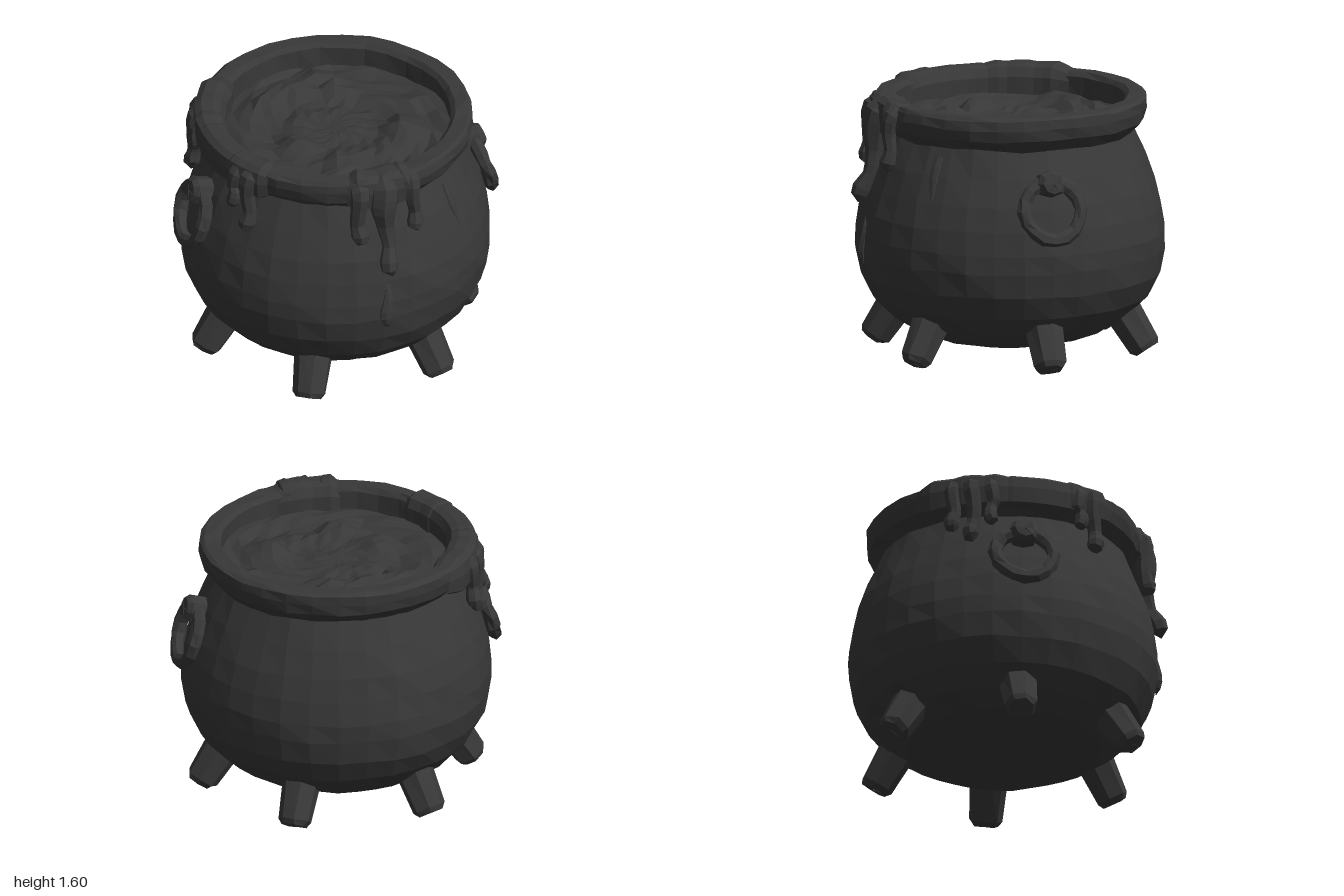
import * as THREE from 'three';

const iron = new THREE.MeshStandardMaterial({ color: 0x383838, flatShading: true });
iron.name = 'dark iron';

// Repeatable offset in -1..1 from a position, so that seam vertices stay together
function noise(x, y, z) {
  const q = (v) => Math.round(v * 1000) || 0;
  const s = Math.sin(q(x) * 0.1271 + q(y) * 0.3117 + q(z) * 0.0747) * 43758.5453;
  return (s - Math.floor(s)) * 2 - 1;
}

// Move every vertex of a geometry by a rule
function reshape(geo, rule) {
  const p = geo.attributes.position, v = new THREE.Vector3();
  for (let i = 0; i < p.count; i++) {
    v.fromBufferAttribute(p, i);
    rule(v, i);
    p.setXYZ(i, v.x, v.y, v.z);
  }
  geo.computeVertexNormals();
  return geo;
}

const roughen = (geo, amount) => reshape(geo, (v) => {
  const { x, y, z } = v;
  v.x += noise(x, y, z) * amount;
  v.y += noise(y, z, x) * amount;
  v.z += noise(z, x, y) * amount;
});

const lathe = (pts, sides, start, length) =>
  new THREE.LatheGeometry(pts.map(([r, y]) => new THREE.Vector2(r, y)), sides, start, length);

function part(name, geo, parent) {
  const m = new THREE.Mesh(geo, iron);
  m.name = name;
  parent.add(m);
  return m;
}

// Tapered round strand; each point is [radius from axis, height, thickness]
function strand(phi, pts, flat = 1) {
  const curve = new THREE.CatmullRomCurve3(pts.map(([r, y], i) => {
    const a = phi + Math.sin(i * 2 + phi * 5) * 0.012;
    return new THREE.Vector3(Math.sin(a) * r, y, Math.cos(a) * r);
  }));
  const n = (pts.length - 1) * 2, sides = 7;
  const out = new THREE.Vector3(Math.sin(phi), 0, Math.cos(phi));
  return reshape(new THREE.TubeGeometry(curve, n, 1, sides), (v, i) => {
    const t = Math.floor(i / (sides + 1)) / n;
    const c = curve.getPoint(curve.getUtoTmapping(t));
    const f = curve.getUtoTmapping(t) * (pts.length - 1);
    const k = Math.min(Math.floor(f), pts.length - 2);
    const r = THREE.MathUtils.lerp(pts[k][2], pts[k + 1][2], f - k);
    v.sub(c).multiplyScalar(r);
    v.addScaledVector(out, v.dot(out) * (flat - 1)).add(c);
  });
}

// Thick goo lying over the rim between two angles, thinning out at both ends
function goo(from, to, extra) {
  const pts = [[0.79, 1.39], [0.825, 1.41], [0.835, 1.5], [0.825, 1.56], [0.79, 1.585],
    [0.73, 1.585], [0.69, 1.57], [0.665, 1.52], [0.665, 1.43]];
  const n = Math.max(6, Math.round((to - from) / 0.08));
  return reshape(lathe(pts, n, from, to - from), (v, i) => {
    const u = Math.floor(i / pts.length) / n;
    const r = Math.hypot(v.x, v.z);
    const wave = 0.75 + 0.25 * Math.sin(u * n * 1.9 + from);
    const f = 0.8 + Math.min(1, Math.sin(Math.PI * u) * 2) * (0.2 + extra * wave);
    const nr = 0.75 + (r - 0.75) * f;
    v.set(v.x * nr / r, 1.48 + (v.y - 1.48) * f, v.z * nr / r);
  });
}

export function createModel() {
  const model = new THREE.Group();
  model.name = 'cauldron';
  const pot = new THREE.Group();
  pot.name = 'pot';
  pot.position.z = -0.035;
  model.add(pot);

  // Round belly
  part('bowl', roughen(lathe([[0.001, 0.065], [0.2, 0.072], [0.42, 0.11], [0.58, 0.17], [0.71, 0.25],
    [0.82, 0.36], [0.89, 0.5], [0.918, 0.65], [0.92, 0.76], [0.9, 0.9], [0.865, 1.04],
    [0.805, 1.2], [0.73, 1.37]], 32), 0.006), pot);

  // Flared rim with the inner wall
  part('rim', roughen(lathe([[0.71, 1.33], [0.735, 1.365], [0.8, 1.43], [0.815, 1.5], [0.812, 1.555],
    [0.79, 1.572], [0.71, 1.572], [0.685, 1.545], [0.685, 1.38]], 32), 0.006), pot);

  // Lumpy brew surface with a swirl and bubbles
  const bubbles = [[-0.1, -0.42, 0.13], [0.12, -0.36, 0.1], [-0.28, -0.36, 0.1], [0.54, -0.14, 0.09],
    [0.4, 0.18, 0.14], [-0.1, 0.4, 0.12], [-0.3, 0.13, 0.1], [0.05, -0.55, 0.09]];
  part('brew', reshape(new THREE.RingGeometry(0.001, 0.7, 30, 11).rotateX(-Math.PI / 2), (v) => {
    const r = Math.hypot(v.x, v.z), a = Math.atan2(v.z, v.x);
    const fade = Math.min(1, r * 4);
    v.y = 1.43 + fade * (0.015 * Math.sin(r * 20 + a) + 0.012 * noise(v.x, 0, v.z));
    for (const [x, z, s] of bubbles) {
      const d = Math.hypot(v.x - x, v.z - z) / s;
      if (d < 1) v.y += 0.06 * Math.sqrt(1 - d * d);
    }
  }), pot);

  // Six splayed feet
  for (let k = 0; k < 6; k++) {
    const geo = lathe([[0.001, -0.195], [0.075, -0.195], [0.1, -0.165], [0.125, 0.21]], 7);
    geo.rotateZ(0.576).translate(0.725, 0.218, 0);
    part('foot', roughen(geo, 0.005), pot).rotation.y = k * Math.PI / 3;
  }

  // Ring handles hanging from lugs on both sides
  for (const side of [0, 1]) {
    const handle = new THREE.Group();
    handle.name = side ? 'rightHandle' : 'leftHandle';
    handle.rotation.y = side * Math.PI;
    handle.position.z = 0.01;
    pot.add(handle);
    const ring = new THREE.TorusGeometry(0.175, 0.042, 7, 16).rotateY(Math.PI / 2).rotateZ(0.3);
    part('ring', roughen(ring.translate(0.9, 1.03, 0), 0.006), handle);
    const lug = lathe([[0.08, -0.1], [0.085, 0.06], [0.06, 0.09], [0.001, 0.095]], 8);
    lug.rotateZ(-Math.PI / 2 + 0.2).translate(0.83, 1.18, 0);
    part('lug', roughen(lug, 0.006), handle);
  }

  // Spilled goo over the rim
  for (const [from, to, extra] of [[-0.25, 0.31, 0.22], [-1.25, -0.85, 0.12], [-2.4, -1.6, 0.2], [-1.8, -1.05, 0.05]])
    part('spill', goo(from, to, extra), pot);

  // Two bulges at the ends of the front spill
  for (const phi of [-0.15, 0.2])
    part('spillBulge', strand(phi, [[0.68, 1.52, 0.02], [0.72, 1.56, 0.055], [0.79, 1.55, 0.06], [0.83, 1.5, 0.03]]), pot);

  // Long drip at the front, standing clear of the belly
  part('longDrip', strand(0.025, [[0.74, 1.56, 0.05], [0.81, 1.52, 0.09], [0.835, 1.4, 0.085], [0.845, 1.27, 0.055],
    [0.88, 1.14, 0.04], [0.925, 1.05, 0.058], [0.945, 0.99, 0.045], [0.95, 0.97, 0.003]]), pot);

  // Short drips: angle, lowest height, thickness
  for (const [phi, low, w] of [[-0.165, 1.16, 0.06], [0.255, 1.18, 0.05], [-1.0, 1.15, 0.055], [-1.13, 1.27, 0.045],
    [-1.78, 1.24, 0.045], [-1.92, 1.14, 0.055], [-2.06, 1.22, 0.05]]) {
    part('shortDrip', strand(phi, [[0.76, 1.55, w * 0.7], [0.82, 1.51, w * 1.1], [0.835, 1.4, w * 0.85],
      [0.835, low + 0.13, w * 0.75], [0.85, low + 0.06, w], [0.855, low + 0.015, w * 0.7], [0.855, low, 0.003]]), pot);
  }

  // Fallen drop on the front of the belly
  part('drop', strand(0.01, [[0.89, 0.9, 0.004], [0.91, 0.8, 0.032], [0.925, 0.68, 0.045], [0.92, 0.62, 0.03],
    [0.915, 0.59, 0.003]], 0.6), pot);

  // Narrow chip below the rim
  part('chip', strand(0.69, [[0.755, 1.31, 0.03], [0.805, 1.2, 0.035], [0.862, 1.04, 0.003]], 0.4), pot);

  return model;
}
